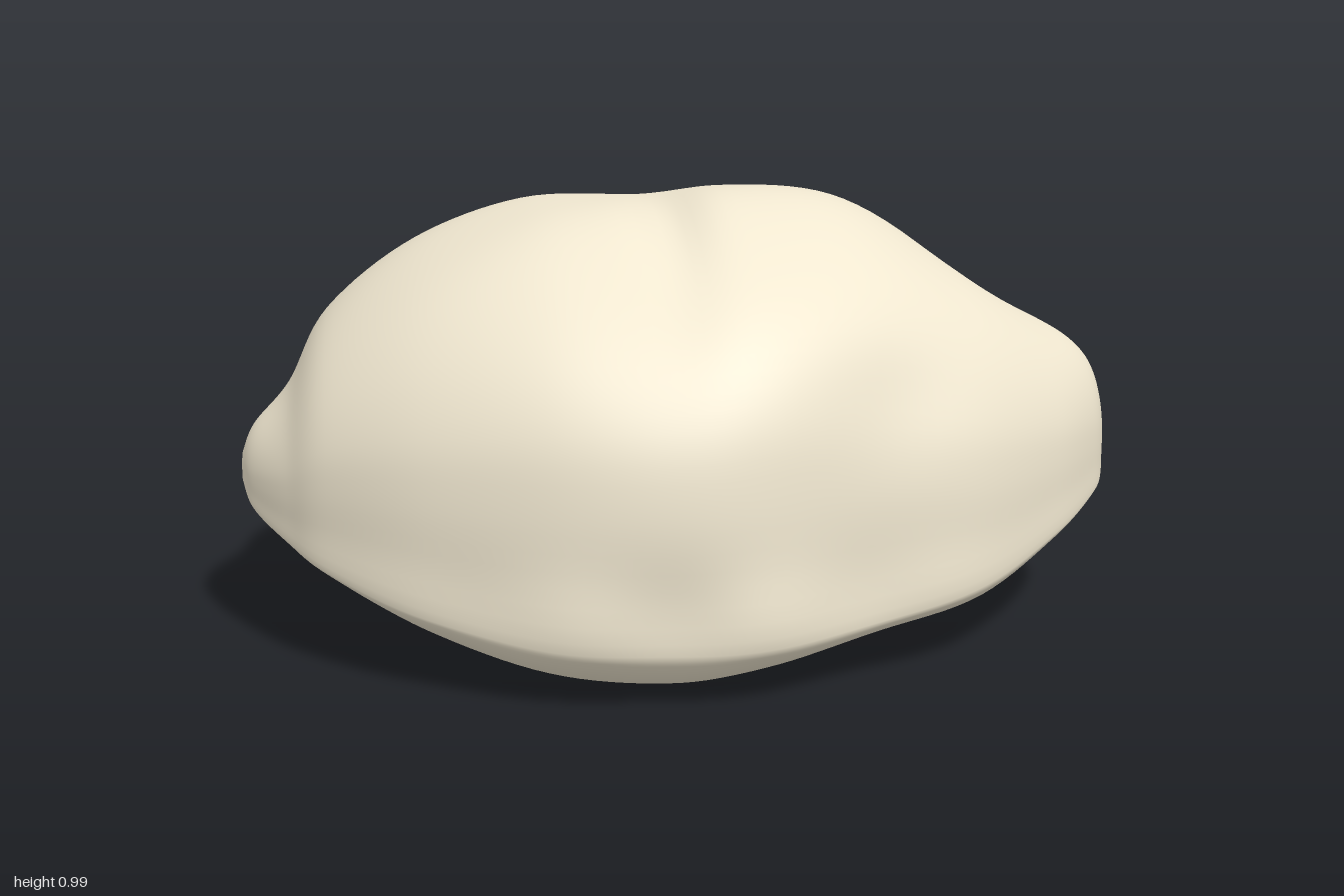
import * as THREE from 'three';

// Stations along the shell: x, top, front z, back z, rim y, front low y, back low y, lip y
const STATIONS = [
  [-1, .40, .03, -.03, .36, .36, .36, .36],
  [-.97, .47, .13, -.13, .31, .31, .30, .315],
  [-.89, .56, .28, -.28, .27, .265, .24, .28],
  [-.8, .72, .40, -.45, .23, .22, .19, .25],
  [-.6, .87, .56, -.62, .17, .11, .11, .18],
  [-.35, .96, .68, -.715, .13, .03, .05, .15],
  [-.1, .975, .725, -.72, .12, .005, .03, .14],
  [.1, .99, .705, -.69, .125, .03, .04, .14],
  [.35, .96, .605, -.60, .14, .08, .09, .15],
  [.6, .83, .50, -.54, .18, .12, .13, .19],
  [.8, .70, .34, -.38, .245, .21, .21, .25],
  [.93, .61, .18, -.23, .29, .275, .27, .29],
  [.98, .53, .08, -.14, .315, .31, .31, .315],
  [1, .42, -.01, -.09, .37, .37, .37, .37],
];
// Underside from lip to rim: fraction of half width, blend from low to lip (+) or rim (-)
const FRONT_SOLE = [[.25, .6], [.42, .2], [.64, 0], [.78, -.12], [.9, -.45], [.97, -.8]];
const BACK_SOLE = [[.3, .9], [.52, .6], [.64, .2], [.77, 0], [.88, -.35], [.97, -.8]];
const RINGS = 104, SIDES = 140;
const { lerp, smoothstep } = THREE.MathUtils;
const bell = (d, w) => Math.exp(-(d * d) / (w * w));

// One half of a cross-section, from the folded lip out round the rim and up to the crown
function halfSection([x, top, zFront, zBack, rim, lowFront, lowBack, lip], front) {
  const mid = (zFront + zBack) / 2;
  const half = (zFront - zBack) / 2;
  const sign = front ? 1 : -1;
  const low = front ? lowFront : lowBack;
  const side = lerp(rim, top, .36);
  const open = 1 - smoothstep(Math.abs(x), .42, .68);
  const gap = .075 * open;
  const slit = mid * (1 - open) - .01 * open;
  const at = (u, y) => new THREE.Vector3(x, y, mid + sign * half * u);
  const lipAt = (d, y) => new THREE.Vector3(x, y, slit + sign * d);
  const pts = [lipAt(gap + .05 * open, lip + .14 * open), lipAt(gap, lip + .03 * open), lipAt(gap + half * .06, lip)];
  const sole = front ? FRONT_SOLE : BACK_SOLE;
  for (const [u, blend] of sole) pts.push(at(u, lerp(low, blend > 0 ? lip : rim, Math.abs(blend))));
  pts.push(at(1, rim + .015 * half), at(1, lerp(rim, side, .5)));
  for (let k = 0; k < 6; k++) {
    const a = (k / 6) * Math.PI / 2;
    pts.push(at(Math.cos(a), side + (top - side) * Math.sin(a)));
  }
  return pts;
}

// Soft dents and waves over the outside
function weather(p) {
  const upper = smoothstep(p.y, .3, .8);
  const end = 1 - p.x * p.x;
  const front = smoothstep(p.z, -.1, .1);
  let swell = 1 + .007 * end * Math.sin(p.x * 9 + p.z * 4) * Math.cos(p.y * 8 - p.z * 5);
  // flutes just above the front rim
  swell += .012 * front * end * bell(p.y - .2, .1) * Math.sin(p.x * 15);
  // hollow on the front shoulder, and the slope high on the back
  swell -= .04 * front * bell(p.x - .42, .16) * bell(p.y - .62, .12);
  swell -= .11 * (1 - front) * bell(p.y - .66, .13) * end;
  p.z *= swell;
  // crease on the crown and the neck before the narrow end
  p.y -= .03 * upper * bell(p.x + .05, .07) * bell(p.z - .2, .25);
  p.y -= .03 * upper * bell(p.x - .68, .14) * bell(p.z + .08, .15);
  p.y += .006 * upper * end * Math.sin(p.z * 11 + p.x * 5);
  return p;
}

function shellGeometry() {
  const stride = STATIONS[0].length;
  const rows = new THREE.CubicInterpolant(STATIONS.map((_, i) => i), STATIONS.flat(), stride);
  const pos = [], index = [];
  for (let i = 0; i <= RINGS; i++) {
    const row = Array.from(rows.evaluate((i / RINGS) * (STATIONS.length - 1)));
    const crown = new THREE.Vector3(row[0], row[1], (row[2] + row[3]) / 2);
    const path = [...halfSection(row, true), crown, ...halfSection(row, false).reverse()];
    const curve = new THREE.CatmullRomCurve3(path, false, 'centripetal');
    const capped = i === 0 || i === RINGS;
    for (let j = 0; j <= SIDES; j++) {
      const p = weather(curve.getPoint(j / SIDES));
      // the two tips close to a point
      if (capped) p.set(row[0], (row[1] + row[4]) / 2, crown.z);
      pos.push(p.x, p.y, p.z);
      if (i < RINGS && j < SIDES) {
        const a = i * (SIDES + 1) + j, b = a + SIDES + 1;
        index.push(a, b, a + 1, b, b + 1, a + 1);
      }
    }
  }
  const g = new THREE.BufferGeometry();
  g.setAttribute('position', new THREE.Float32BufferAttribute(pos, 3));
  g.setIndex(index);
  g.computeVertexNormals();
  return g;
}

// Folded upright strip inside the slit
function ribbonGeometry() {
  const folds = [[-.52, .03], [-.4, .09], [-.26, 0], [-.02, .07], [.1, -.02], [.34, .05], [.5, -.04]];
  const g = new THREE.PlaneGeometry(1, .2, folds.length - 1, 1);
  const p = g.attributes.position;
  for (let i = 0; i < p.count; i++) {
    const [x, z] = folds[i % folds.length];
    p.setXYZ(i, x, p.getY(i) + .275, z);
  }
  g.computeVertexNormals();
  return g;
}

export function createModel() {
  const group = new THREE.Group();
  group.name = 'seashell';

  const shell = new THREE.Mesh(shellGeometry(),
    new THREE.MeshStandardMaterial({ color: 0xf0e7d0, side: THREE.DoubleSide }));
  shell.name = 'shell';

  const teeth = new THREE.Mesh(ribbonGeometry(),
    new THREE.MeshStandardMaterial({ color: 0x885a51, side: THREE.DoubleSide, flatShading: true }));
  teeth.name = 'innerTeeth';

  group.add(shell, teeth);
  return group;
}
